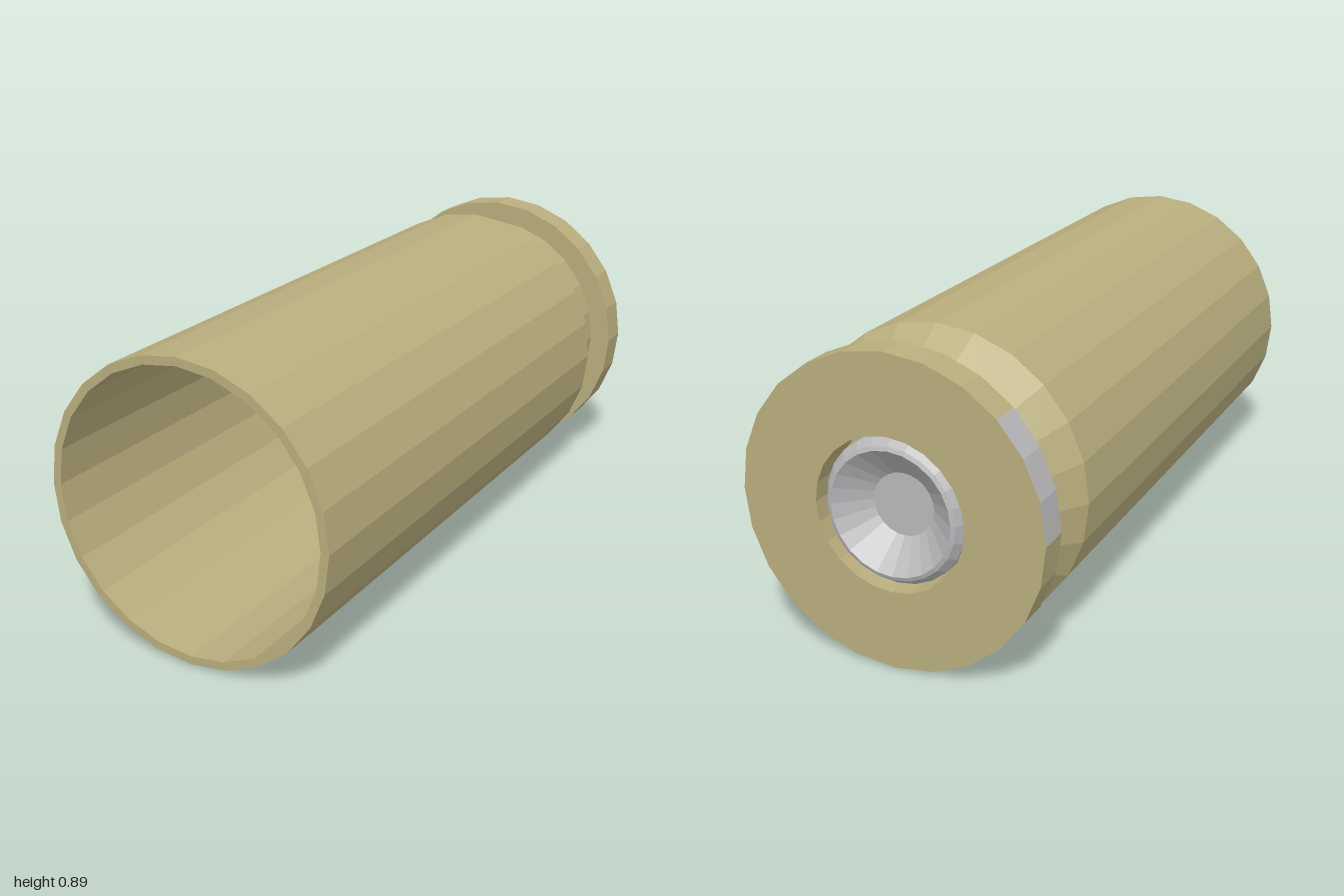
import * as THREE from 'three';

const SIDES = 24;
const AXIS_Y = 0.45;

export function createModel() {
  const brass = new THREE.MeshStandardMaterial({ color: 0xb9ae7d });
  brass.name = 'brass';
  const silver = new THREE.MeshStandardMaterial({ color: 0xb8b8ba });
  silver.name = 'silver';

  const model = new THREE.Group();
  model.name = 'casing';

  function add(name, geometry, material) {
    const mesh = new THREE.Mesh(geometry, material);
    mesh.name = name;
    mesh.position.y = AXIS_Y;
    model.add(mesh);
  }

  // Faceted turned part along z; profile is [radius, z], angles in facets
  function turned(profile, start = 0, count = SIDES) {
    const step = (Math.PI * 2) / SIDES;
    const points = profile.map(([r, z]) => new THREE.Vector2(r, z));
    const geometry = new THREE.LatheGeometry(points, count, start * step, count * step)
      .rotateX(Math.PI / 2)
      .toNonIndexed();
    geometry.computeVertexNormals();
    return geometry;
  }

  // Base plate with the primer pocket
  add('base', turned([[0, -0.9], [0.22, -0.9], [0.22, -1], [0.447, -1]]), brass);

  // Rim edge, three facets of it bare metal
  const rim = [[0.447, -1], [0.447, -0.905]];
  add('rim', turned(rim, 18, 21), brass);
  add('rimWornPatch', turned(rim, 15, 3), silver);

  // Extractor groove, shoulder, outer wall, mouth, inner wall and floor
  add('body', turned([
    [0.447, -0.905], [0.38, -0.905], [0.38, -0.81], [0.443, -0.718],
    [0.443, 1], [0.418, 1], [0.418, -0.7], [0, -0.7],
  ]), brass);

  // Struck primer: conical dent, rounded edge and side
  add('primer', turned([
    [0, -0.92], [0.09, -0.92], [0.178, -0.995], [0.19, -0.99], [0.208, -0.965], [0.208, -0.9],
  ]), silver);

  // Small bare chip on the shoulder
  const polar = (r, degrees, z) => {
    const a = THREE.MathUtils.degToRad(degrees);
    return new THREE.Vector3(r * Math.cos(a), r * Math.sin(a), z);
  };
  const chip = new THREE.BufferGeometry().setFromPoints([
    polar(0.383, -30, -0.81), polar(0.425, -43, -0.75), polar(0.383, -45, -0.81),
  ]);
  chip.computeVertexNormals();
  add('shoulderWornPatch', chip, silver);

  return model;
}
